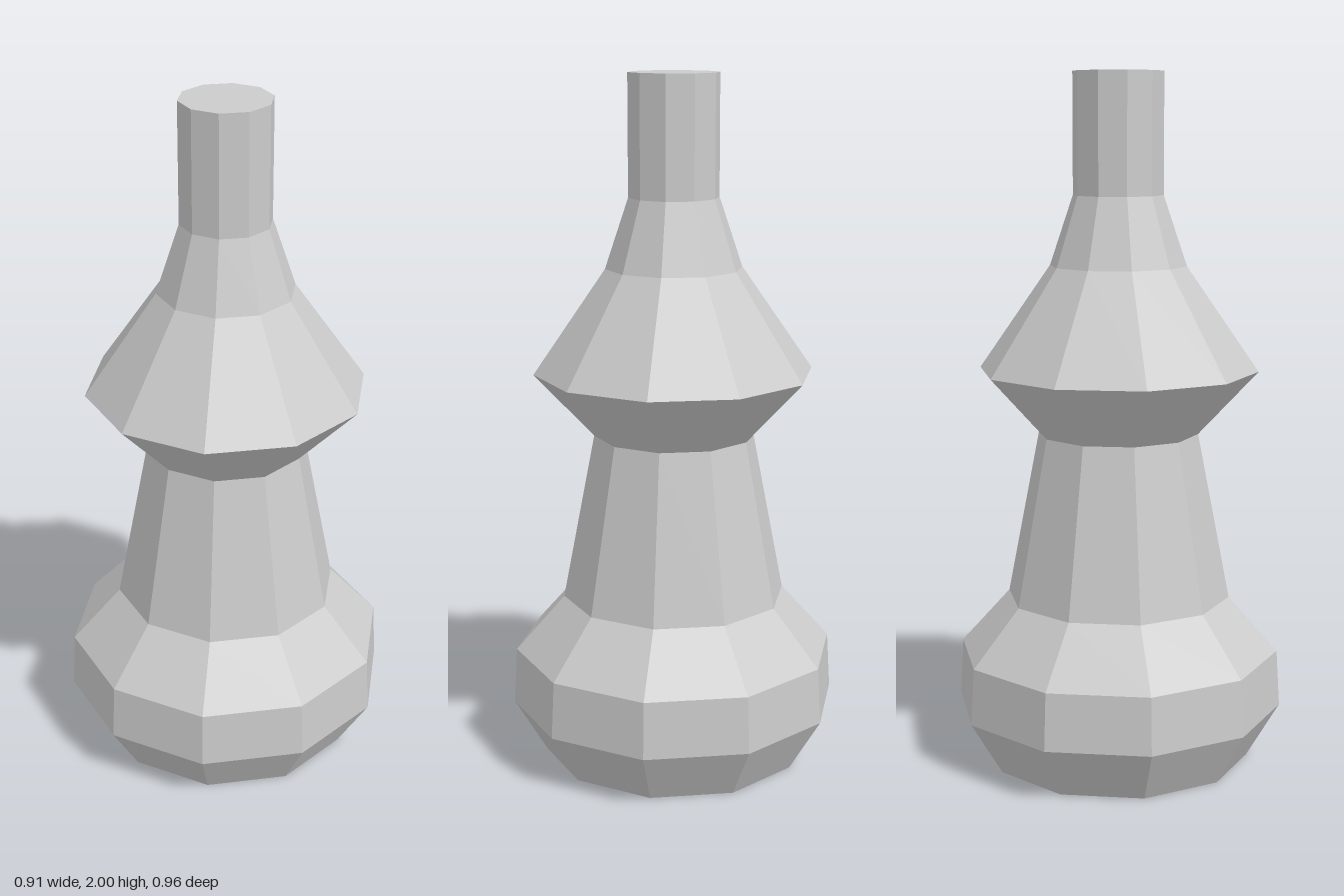
import * as THREE from 'three';

const SIDES = 10;

// Each part is a stack of [radius, height] rings, listed from bottom to top;
// neighbouring parts share a ring so the surface stays closed.
const PARTS = {
  base: [[0, 0], [0.385, 0], [0.48, 0.16], [0.47, 0.325], [0.327, 0.485]],
  stem: [[0.327, 0.485], [0.233, 0.97]],
  collar: [[0.233, 0.97], [0.405, 1.155], [0.197, 1.455], [0.13, 1.655]],
  neck: [[0.13, 1.655], [0.13, 2], [0, 2]],
};

export function createModel() {
  const group = new THREE.Group();
  group.name = 'turnedPost';
  const material = new THREE.MeshStandardMaterial({ color: 0xcccccc, flatShading: true });

  // Ten-sided lathe for every part, with corners on the z axis
  for (const [name, rings] of Object.entries(PARTS)) {
    const profile = rings.map(([r, y]) => new THREE.Vector2(r, y));
    const mesh = new THREE.Mesh(new THREE.LatheGeometry(profile, SIDES), material);
    mesh.name = name;
    group.add(mesh);
  }
  return group;
}
